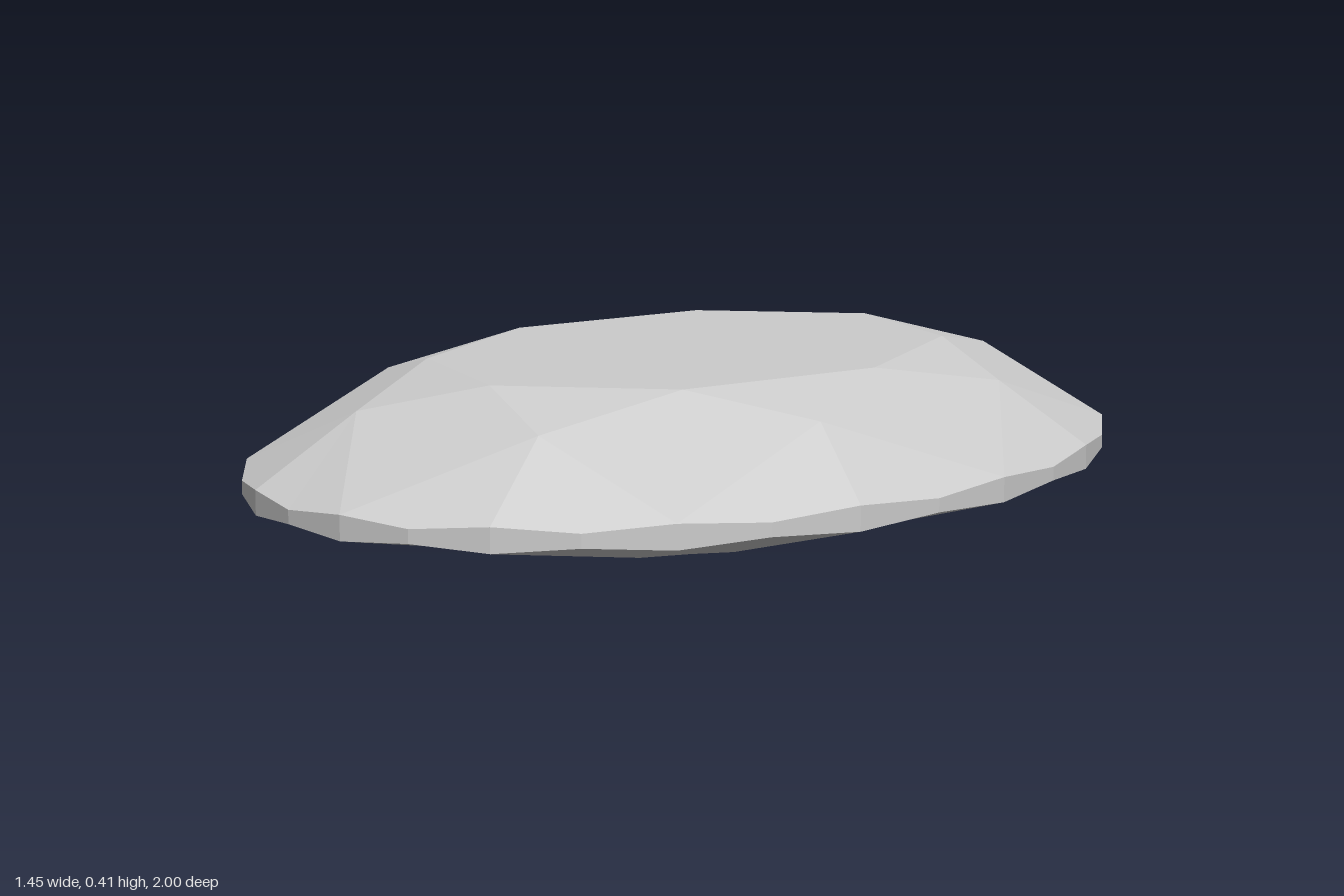
import * as THREE from 'three';

const STEP = Math.PI / 16; // the girdle has 32 sides
const WIDTH = 0.725;       // oval: x is narrower than z

// Point on the oval at ring position i (0..31), radius r and height y
const at = (i, r, y) => [WIDTH * r * Math.sin(i * STEP), y, r * Math.cos(i * STEP)];

// Flat facets from polygons, each fanned from its first corner
function facetMesh(name, polygons) {
  const positions = [];
  for (const p of polygons) {
    for (let i = 1; i < p.length - 1; i++) positions.push(...p[0], ...p[i], ...p[i + 1]);
  }
  const geometry = new THREE.BufferGeometry();
  geometry.setAttribute('position', new THREE.Float32BufferAttribute(positions, 3));
  geometry.computeVertexNormals();
  const mesh = new THREE.Mesh(geometry, new THREE.MeshStandardMaterial({ color: 0xcccccc, flatShading: true }));
  mesh.name = name;
  return mesh;
}

export function createModel() {
  // Rings of corners; the girdle edges are scalloped
  const tablePoint = (i) => at(i, 0.6, 0.413);
  const starPoint = (i) => at(i, 0.78, 0.36);
  const girdleTop = (i) => at(i, 1, i % 2 ? 0.226 : 0.237);
  const girdleBottom = (i) => at(i, 1, i % 2 ? 0.2 : 0.19);
  const lowerPoint = (i) => at(i, 0.28, 0.046);
  const culet = [0, 0, 0];

  const table = [[]], stars = [], crownMains = [], upperHalves = [];
  const girdle = [], lowerHalves = [], pavilionMains = [];

  // Eightfold facets
  for (let i = 0; i < 32; i += 4) {
    table[0].push(tablePoint(i));
    stars.push([tablePoint(i), starPoint(i + 2), tablePoint(i + 4)]);
    crownMains.push([tablePoint(i), starPoint(i - 2), girdleTop(i), starPoint(i + 2)]);
    pavilionMains.push([culet, lowerPoint(i + 2), girdleBottom(i), lowerPoint(i - 2)]);
    // Half facets fan out from the points between the mains
    for (let j = i; j < i + 4; j++) {
      upperHalves.push([starPoint(i + 2), girdleTop(j), girdleTop(j + 1)]);
      lowerHalves.push([lowerPoint(i + 2), girdleBottom(j + 1), girdleBottom(j)]);
    }
  }

  // Narrow band between crown and pavilion
  for (let i = 0; i < 32; i++) {
    girdle.push([girdleBottom(i), girdleBottom(i + 1), girdleTop(i + 1), girdleTop(i)]);
  }

  const gem = new THREE.Group();
  gem.name = 'ovalGem';
  gem.add(
    facetMesh('table', table),
    facetMesh('starFacets', stars),
    facetMesh('crownMainFacets', crownMains),
    facetMesh('upperHalfFacets', upperHalves),
    facetMesh('girdle', girdle),
    facetMesh('lowerHalfFacets', lowerHalves),
    facetMesh('pavilionMainFacets', pavilionMains),
  );
  return gem;
}
